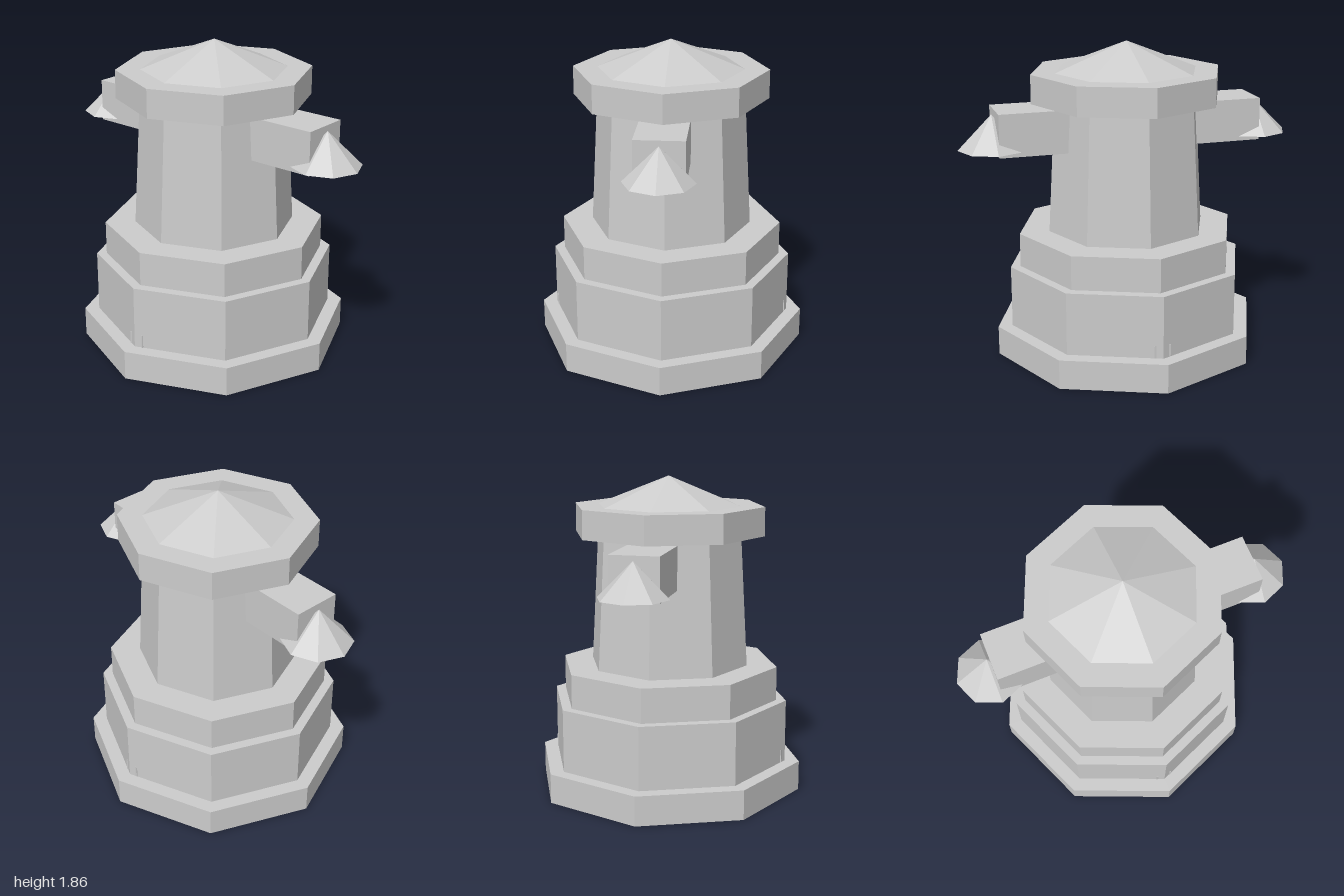
import * as THREE from 'three';

const material = new THREE.MeshStandardMaterial({ color: 0xcccccc, flatShading: true });

function add(parent, name, geometry, x, y, z) {
  const mesh = new THREE.Mesh(geometry, material);
  mesh.name = name;
  mesh.position.set(x, y, z);
  parent.add(mesh);
}

// Eight-sided tier with a corner on each axis, from height y0 to y1
function tier(parent, name, rBottom, rTop, y0, y1, x = 0) {
  const geometry = rTop > 0
    ? new THREE.CylinderGeometry(rTop, rBottom, y1 - y0, 8)
    : new THREE.ConeGeometry(rBottom, y1 - y0, 8);
  add(parent, name, geometry, x, (y0 + y1) / 2, 0);
}

export function createModel() {
  const tower = new THREE.Group();
  tower.name = 'tower';

  // Stepped body, shaft and roof
  tier(tower, 'basePlinth', 0.8, 0.8, 0, 0.174);
  tier(tower, 'lowerTier', 0.714, 0.714, 0.174, 0.545);
  tier(tower, 'upperTier', 0.655, 0.655, 0.545, 0.746);
  tier(tower, 'shaft', 0.476, 0.433, 0.746, 1.518);
  tier(tower, 'crown', 0.57, 0.57, 1.518, 1.687);
  tier(tower, 'roof', 0.427, 0, 1.687, 1.857);

  for (const side of [1, -1]) {
    // Side arms, each ending in a small pointed cap
    const arm = new THREE.Group();
    arm.name = side > 0 ? 'leftArm' : 'rightArm';
    add(arm, 'armBeam', new THREE.BoxGeometry(0.485, 0.251, 0.282), side * 0.5425, 1.3745, 0);
    tier(arm, 'armCap', 0.2, 0, 1.275, 1.474, side * 0.8);
    tower.add(arm);

    // Small doors, almost sunk into the front and back corners
    add(tower, side > 0 ? 'frontDoor' : 'backDoor',
      new THREE.BoxGeometry(0.096, 0.076, 0.1), 0, 0.212, side * 0.649);
  }
  return tower;
}
